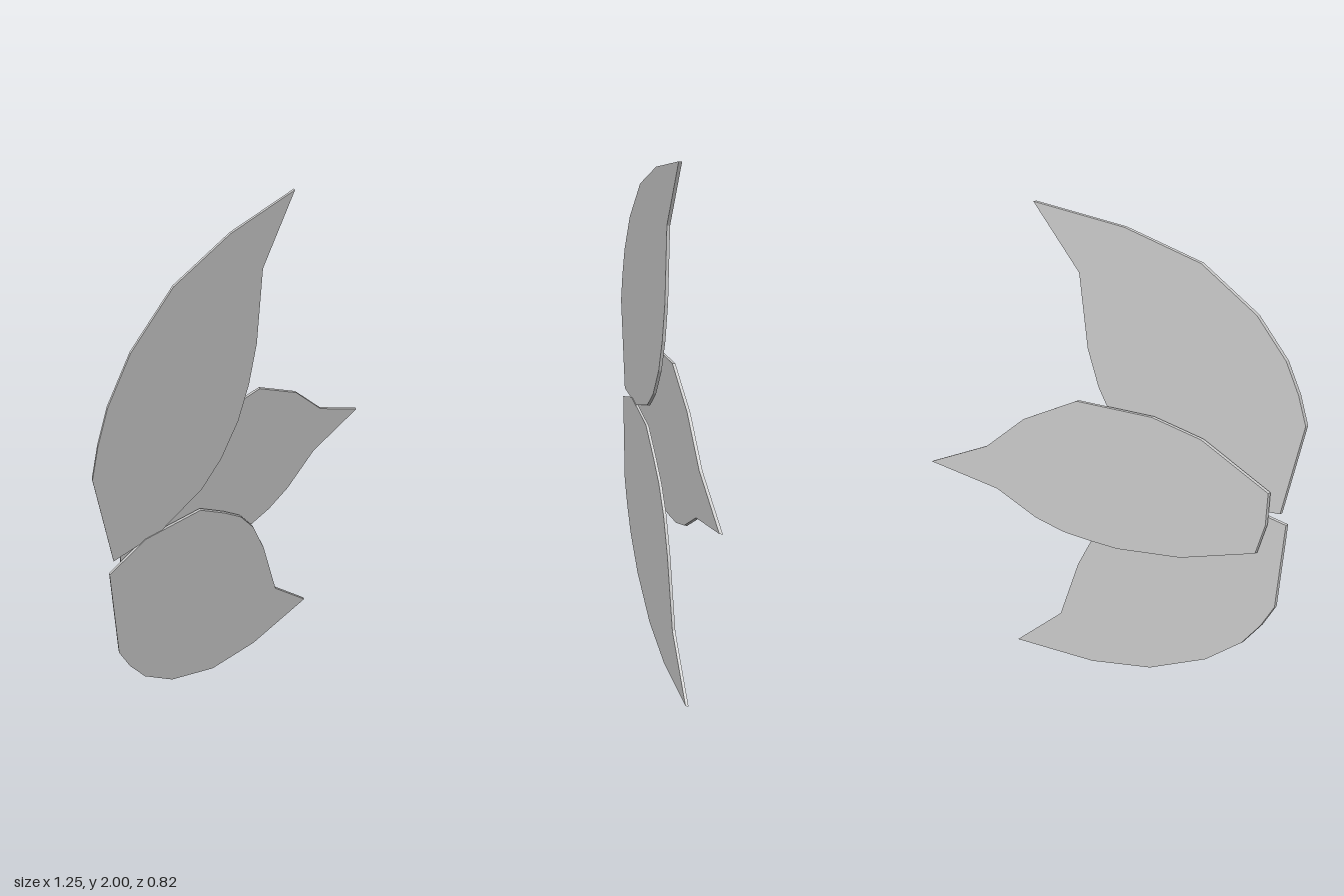
import * as THREE from 'three';

const SLOPE = -0.63; // all leaves stand in upright planes turned about y
const THICKNESS = 0.012;

// Thin faceted leaf: an outline in x/y, extruded and sheared onto the slanted plane
function makeLeaf(name, outline, offset) {
  const shape = new THREE.Shape(outline.map(([x, y]) => new THREE.Vector2(x, y)));
  const geometry = new THREE.ExtrudeGeometry(shape, { depth: THICKNESS, bevelEnabled: false });
  const p = geometry.attributes.position;
  for (let i = 0; i < p.count; i++) {
    p.setZ(i, p.getZ(i) + offset + SLOPE * p.getX(i));
  }
  geometry.computeVertexNormals();
  const material = new THREE.MeshStandardMaterial({ color: 0xcccccc, flatShading: true });
  const mesh = new THREE.Mesh(geometry, material);
  mesh.name = name;
  return mesh;
}

export function createModel() {
  const model = new THREE.Group();
  model.name = 'leafCluster';

  // Upper leaf, curling up to its tip
  model.add(makeLeaf('upperLeaf', [
    [0.22, 2.0], [-0.06, 1.95], [-0.29, 1.86], [-0.46, 1.705], [-0.555, 1.555],
    [-0.6, 1.435], [-0.63, 1.32], [-0.58, 0.94], [-0.38, 0.935], [-0.2, 1.0],
    [-0.11, 1.08], [-0.03, 1.2], [0.02, 1.33], [0.055, 1.48], [0.08, 1.765],
  ], 0));

  // Lower leaf, curling down to its tip
  model.add(makeLeaf('lowerLeaf', [
    [0.345, 0.015], [0.17, 0.22], [0.1, 0.5], [0.045, 0.645], [-0.02, 0.745],
    [-0.1, 0.82], [-0.21, 0.91], [-0.38, 0.935], [-0.45, 0.945], [-0.6, 0.895],
    [-0.59, 0.51], [-0.55, 0.405], [-0.49, 0.295], [-0.37, 0.165], [-0.17, 0.045],
    [0.05, 0.0],
  ], 0.003));

  // Middle leaf, pointing sideways behind the other two
  model.add(makeLeaf('middleLeaf', [
    [0.62, 0.865], [0.405, 0.99], [0.265, 1.145], [0.08, 1.265], [-0.17, 1.255],
    [-0.33, 1.2], [-0.55, 1.03], [-0.55, 0.89], [-0.525, 0.755], [-0.28, 0.66],
    [-0.06, 0.635], [0.04, 0.645], [0.135, 0.66], [0.235, 0.7], [0.375, 0.8],
  ], -0.021));

  return model;
}
